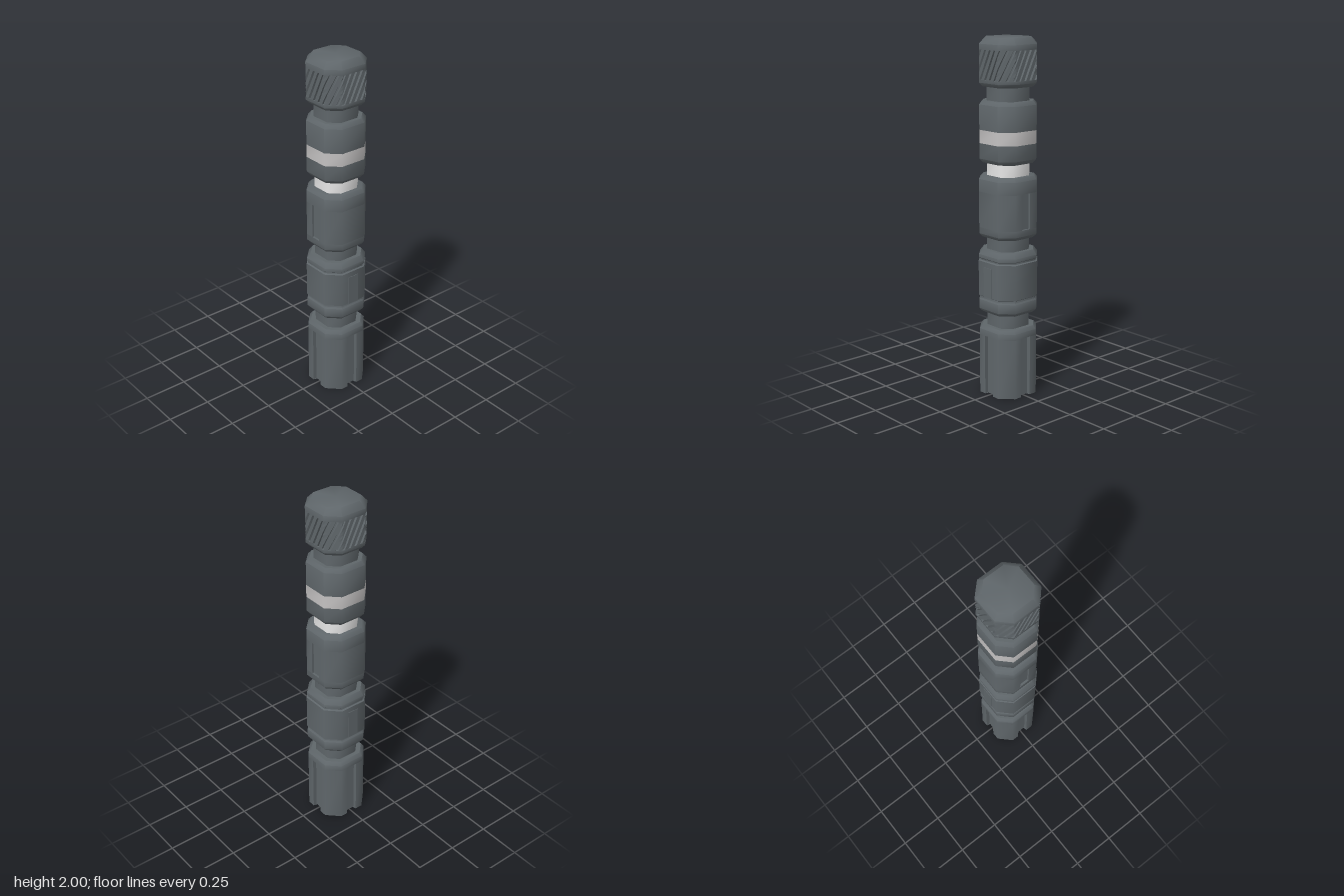
import * as THREE from 'three';
import { toCreasedNormals } from 'three/addons/utils/BufferGeometryUtils.js';

const CORNER = 0.53; // where a flat side ends, as a share of the half width

// Eight-sided outline; notched sides ('z' = front and back, 'all' = four) get a shallow channel
function outline(half, notched = '', w = 0.03, depth = 0.015) {
  const pts = [], c = half * CORNER;
  for (let k = 0; k < 4; k++) {
    const a = k * Math.PI / 2;
    const add = (t, n) => pts.push([n * Math.sin(a) + t * Math.cos(a), n * Math.cos(a) - t * Math.sin(a)]);
    add(-c, half);
    if (notched === 'all' || (notched === 'z' && k % 2 === 0)) {
      add(-w, half); add(-w, half - depth); add(w, half - depth); add(w, half);
    }
    add(c, half);
  }
  return pts;
}

// Skin a list of closed loops of [x, y, z], optionally capped at both ends
function loft(loops, capped = true) {
  const pos = [], n = loops[0].length;
  const tri = (a, b, c) => pos.push(...a, ...b, ...c);
  for (let r = 0; r < loops.length - 1; r++) {
    for (let i = 0; i < n; i++) {
      const j = (i + 1) % n, lo = loops[r], hi = loops[r + 1];
      tri(lo[i], lo[j], hi[j]);
      tri(lo[i], hi[j], hi[i]);
    }
  }
  if (capped) {
    const lo = loops[0], hi = loops[loops.length - 1];
    for (let i = 0; i < n; i++) {
      const j = (i + 1) % n;
      tri([0, lo[0][1], 0], lo[j], lo[i]);
      tri([0, hi[0][1], 0], hi[i], hi[j]);
    }
  }
  const g = new THREE.BufferGeometry();
  g.setAttribute('position', new THREE.Float32BufferAttribute(pos, 3));
  return toCreasedNormals(g, 0.85);
}

const loopAt = (pts, y) => pts.map(([x, z]) => [x, y, z]);

// Eight-sided solid from a profile of [half width, height]
const tier = (profile) => loft(profile.map(([h, y]) => loopAt(outline(h), y)));

// Straight section with channels cut into its sides
const channelled = (half, y0, y1, sides, w, d) => {
  const pts = outline(half, sides, w, d);
  return loft([loopAt(pts, y0), loopAt(pts, y1)]);
};

// Point at fraction u around an eight-sided outline
function around(pts, u) {
  const len = pts.map((p, i) => Math.hypot(pts[(i + 1) % 8][0] - p[0], pts[(i + 1) % 8][1] - p[1]));
  let s = (((u % 1) + 1) % 1) * len.reduce((a, b) => a + b), i = 0;
  while (i < 7 && s > len[i]) s -= len[i++];
  const p = pts[i], q = pts[(i + 1) % 8], t = s / len[i];
  return [p[0] + (q[0] - p[0]) * t, p[1] + (q[1] - p[1]) * t];
}

// Slanted ribs wrapped round the cap
function knurl(y0, y1, inner, outer, ribs, lean, rows) {
  const low = outline(inner), high = outline(outer), loops = [];
  const steps = [[0, high], [0.3, high], [0.6, high], [0.7, low], [0.9, low]];
  for (let r = 0; r <= rows; r++) {
    const v = r / rows, loop = [];
    for (let k = 0; k < ribs; k++) {
      for (const [f, pts] of steps) {
        const [x, z] = around(pts, (k + f) / ribs + lean * v);
        loop.push([x, y0 + (y1 - y0) * v, z]);
      }
    }
    loops.push(loop);
  }
  return loft(loops);
}

export function createModel() {
  const group = new THREE.Group();
  const material = (name, color) => {
    const m = new THREE.MeshStandardMaterial({ color });
    m.name = name;
    return m;
  };
  const metal = material('darkMetal', 0x5f666a);
  const grey = material('bandGrey', 0xc4c2c2);
  const white = material('collarWhite', 0xeeeeee);
  const add = (name, geometry, mat = metal) => {
    const mesh = new THREE.Mesh(geometry, mat);
    mesh.name = name;
    group.add(mesh);
    return mesh;
  };

  // Foot with four channels open at the bottom
  add('footChannels', channelled(0.145, 0, 0.345, 'all', 0.033, 0.022));
  add('footTop', tier([[0.145, 0.345], [0.145, 0.38], [0.13, 0.4]]));

  // Narrow necks between the sections
  const necks = [
    ['footNeck', 0.39, 0.49, metal], ['middleNeck', 0.83, 0.92, metal],
    ['lightCollar', 1.245, 1.335, white], ['capNeck', 1.65, 1.75, metal],
  ];
  for (const [name, y0, y1, mat] of necks) add(name, tier([[0.106, y0], [0.106, y1]]), mat);

  // Lower grip: base ring, body and top ring separated by fine grooves
  add('lowerGrip', tier([
    [0.13, 0.48], [0.147, 0.5], [0.147, 0.552], [0.139, 0.56], [0.139, 0.57], [0.149, 0.576],
    [0.149, 0.775], [0.141, 0.78], [0.141, 0.788], [0.147, 0.793], [0.147, 0.812], [0.128, 0.84],
  ]));
  for (const s of [-1, 1]) {
    const plate = add('gripPlate', new THREE.BoxGeometry(0.006, 0.17, 0.066));
    plate.position.set(s * 0.149, 0.66, 0);
  }

  // Middle grip with a slot at front and back
  add('middleGripBottom', tier([[0.128, 0.91], [0.145, 0.93], [0.145, 0.965]]));
  add('middleGripSlots', channelled(0.145, 0.965, 1.165, 'z', 0.029, 0.012));
  add('middleGripTop', tier([[0.145, 1.165], [0.145, 1.235], [0.128, 1.255]]));

  // Upper grip with a pale band
  add('upperGripBottom', tier([[0.125, 1.325], [0.142, 1.347], [0.142, 1.432]]));
  add('paleBand', tier([[0.142, 1.432], [0.142, 1.505]]), grey);
  add('upperGripTop', tier([[0.142, 1.505], [0.142, 1.642], [0.125, 1.663]]));

  // Cap with slanted knurling
  add('capBase', tier([[0.125, 1.738], [0.142, 1.758], [0.142, 1.775]]));
  add('capKnurling', knurl(1.775, 1.935, 0.132, 0.142, 26, 0.08, 16));
  add('capTop', tier([[0.142, 1.935], [0.142, 1.965], [0.112, 2]]));

  return group;
}
